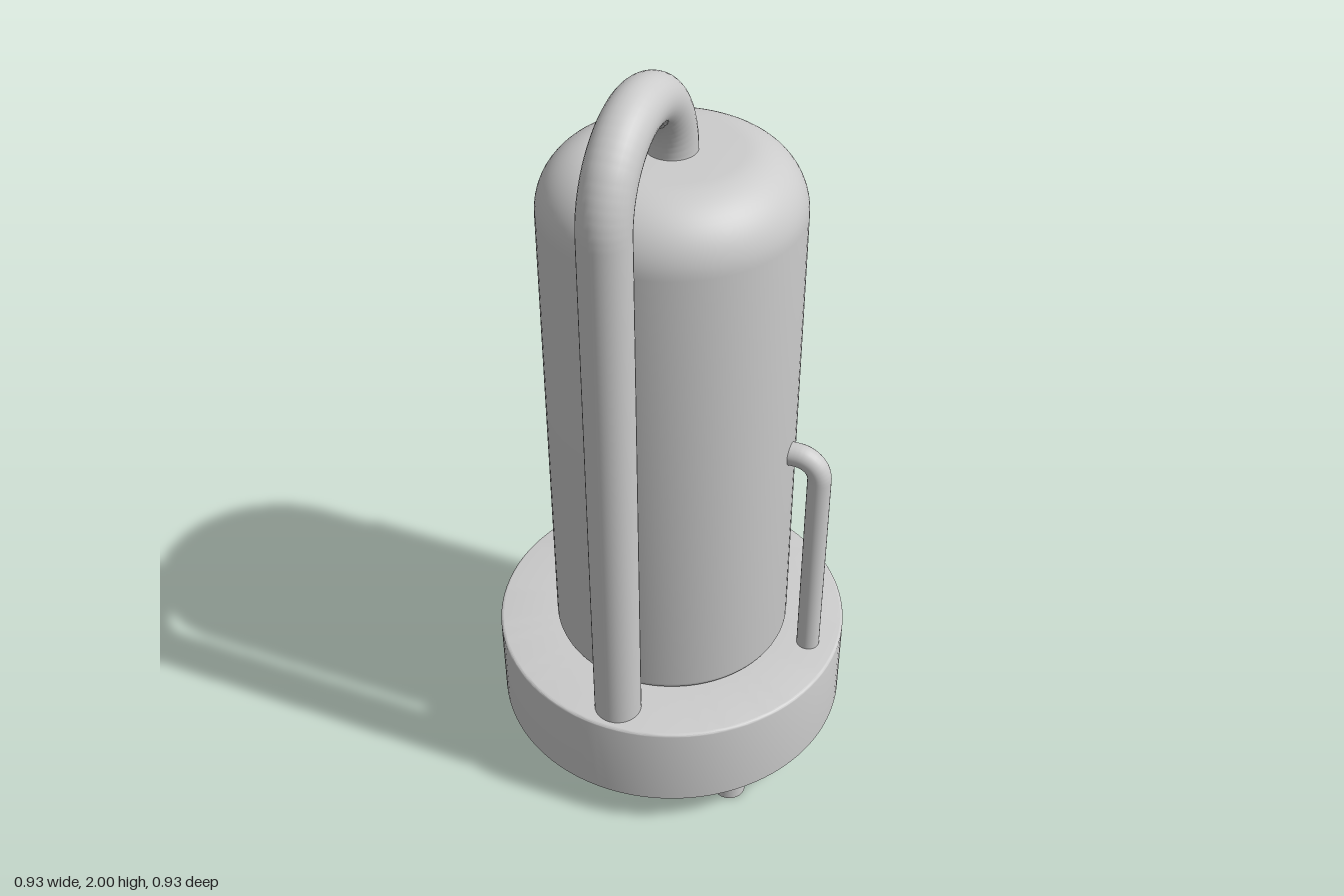
import * as THREE from 'three';
import { toCreasedNormals } from 'three/addons/utils/BufferGeometryUtils.js';

const material = new THREE.MeshStandardMaterial({ color: 0xcccccc });

function addMesh(group, name, geometry) {
  const mesh = new THREE.Mesh(geometry, material);
  mesh.name = name;
  group.add(mesh);
  return mesh;
}

// Quarter-circle fillet points in the profile plane
function fillet(cx, cy, r, from, to, steps) {
  return Array.from({ length: steps + 1 }, (_, i) => {
    const a = from + ((to - from) * i) / steps;
    return [cx + r * Math.cos(a), cy + r * Math.sin(a)];
  });
}

// Turned solid with crisp corners and smooth curves
function turned(profile) {
  const points = profile.map(([r, y]) => new THREE.Vector2(r, y));
  return toCreasedNormals(new THREE.LatheGeometry(points, 96), 0.5);
}

// Pipe path in its own plane: rises at distance d, bends inward, runs to distance end
function bentPipe(d, bottom, height, bend, end, radius) {
  const v = (x, y) => new THREE.Vector3(x, y, 0);
  const path = new THREE.CurvePath();
  path.add(new THREE.LineCurve3(v(d, bottom), v(d, height - bend)));
  const arc = fillet(d - bend, height - bend, bend, 0, Math.PI / 2, 12).map(([x, y]) => v(x, y));
  for (let i = 1; i < arc.length; i++) path.add(new THREE.LineCurve3(arc[i - 1], arc[i]));
  path.add(new THREE.LineCurve3(v(d - bend, height), v(end, height)));
  return new THREE.TubeGeometry(path, 160, radius, 24);
}

export function createModel() {
  const model = new THREE.Group();
  model.name = 'tankOnStand';
  const H = Math.PI / 2;

  // Round base, hollow underneath, with an opening into the tank
  addMesh(model, 'base', turned([
    [0.295, 0.32], [0.42, 0.32], [0.42, 0.1], [0.467, 0.1],
    ...fillet(0.459, 0.337, 0.008, 0, H, 4),
    [0.295, 0.345], [0.295, 0.32],
  ]));

  // Hollow tank with a broad shoulder and a small lower fillet
  addMesh(model, 'tank', turned([
    [0.295, 0.345],
    ...fillet(0.292, 0.365, 0.02, -H + 0.3, 0, 5),
    ...fillet(0.162, 1.6, 0.15, 0, H, 16),
    [0, 1.75],
  ]));
  addMesh(model, 'tankLining', turned([
    [0, 1.73],
    ...fillet(0.162, 1.597, 0.133, H, 0, 16),
    [0.295, 0.345],
  ]));

  // Legs reaching up to the ceiling of the base
  for (const x of [-1, 1]) for (const z of [-1, 1]) {
    const leg = addMesh(model, 'leg', new THREE.CylinderGeometry(0.042, 0.042, 0.325, 32));
    leg.position.set(x * 0.266, 0.1625, z * 0.266);
  }

  // Large pipe looping from the base over into the tank top
  const loop = new THREE.CurvePath();
  const p = (y, z) => new THREE.Vector3(0, y, z);
  const arc = fillet(0.195, 1.745, 0.195, 0, Math.PI, 32).map(([z, y]) => p(y, z));
  loop.add(new THREE.LineCurve3(p(0.335, 0.39), arc[0]));
  for (let i = 1; i < arc.length; i++) loop.add(new THREE.LineCurve3(arc[i - 1], arc[i]));
  loop.add(new THREE.LineCurve3(arc[32], p(1.735, 0)));
  addMesh(model, 'topPipe', new THREE.TubeGeometry(loop, 200, 0.06, 32));

  // Thin side pipe bending into the tank
  addMesh(model, 'sidePipe', bentPipe(0.388, 0.335, 0.97, 0.06, 0.3, 0.03));

  // Medium pipe at the rear corner
  const rear = addMesh(model, 'rearPipe', bentPipe(0.389, 0.335, 1.1, 0.065, 0.3, 0.05));
  rear.rotation.y = THREE.MathUtils.degToRad(134);

  return model;
}
